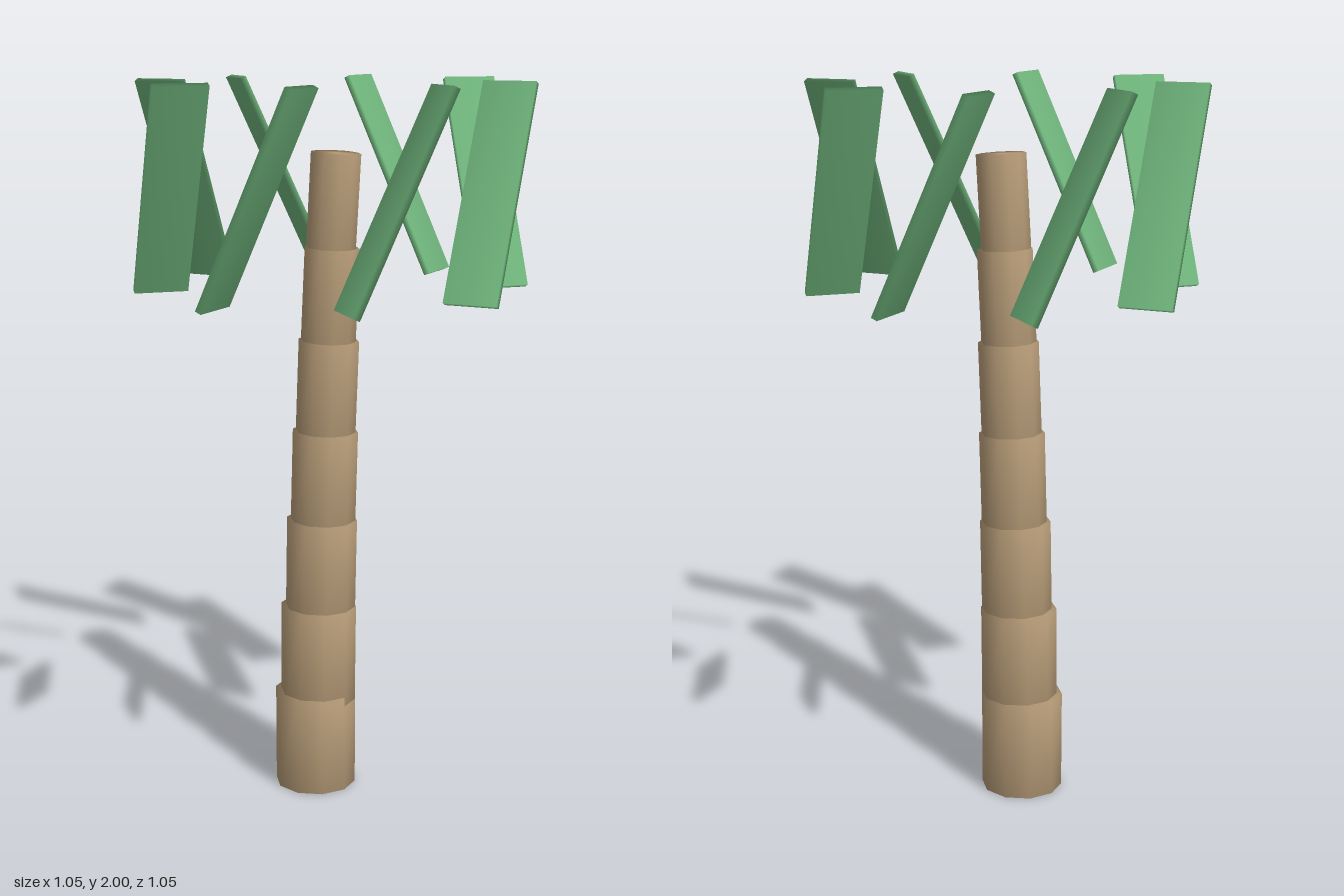
import * as THREE from 'three';
import { mergeVertices } from 'three/addons/utils/BufferGeometryUtils.js';

// Shares corner vertices so the shading flows softly over the edges
function soften(geometry) {
  geometry.deleteAttribute('normal');
  geometry.deleteAttribute('uv');
  const merged = mergeVertices(geometry, 1e-4);
  merged.computeVertexNormals();
  return merged;
}

export function createModel() {
  const palm = new THREE.Group();
  palm.name = 'palmTree';

  const bark = new THREE.MeshStandardMaterial({ color: 0xb79c78 });
  bark.name = 'bark';
  const leafGreen = new THREE.MeshStandardMaterial({ color: 0x70b67d });
  leafGreen.name = 'leafGreen';

  // Trunk: stacked, shrinking ten-sided drums that lean more toward the top
  const trunk = new THREE.Group();
  trunk.name = 'trunk';
  for (let i = 0; i < 7; i++) {
    const radius = 0.115 - 0.0078 * i;
    const drum = new THREE.Mesh(
      soften(new THREE.CylinderGeometry(radius, radius, 0.28, 10)), bark);
    drum.name = `trunkSegment${i + 1}`;
    drum.position.set(-0.055 + 0.0095 * i, 0.14 + 0.255 * i, 0);
    drum.rotation.z = -0.01 * i;
    trunk.add(drum);
  }
  palm.add(trunk);

  // Crown: a ring of eight thin planks, each tipped sideways along the ring
  const crown = new THREE.Group();
  crown.name = 'crown';
  const leafGeometry = soften(new THREE.BoxGeometry(0.018, 0.61, 0.148));
  for (let i = 0; i < 8; i++) {
    const arm = new THREE.Group();
    arm.name = `leafArm${i + 1}`;
    arm.rotation.y = (i * Math.PI) / 4;
    const leaf = new THREE.Mesh(leafGeometry, leafGreen);
    leaf.name = `leaf${i + 1}`;
    leaf.position.set(0.01, 1.72, 0.45);
    leaf.rotation.z = -0.433;
    arm.add(leaf);
    crown.add(arm);
  }
  palm.add(crown);

  return palm;
}
